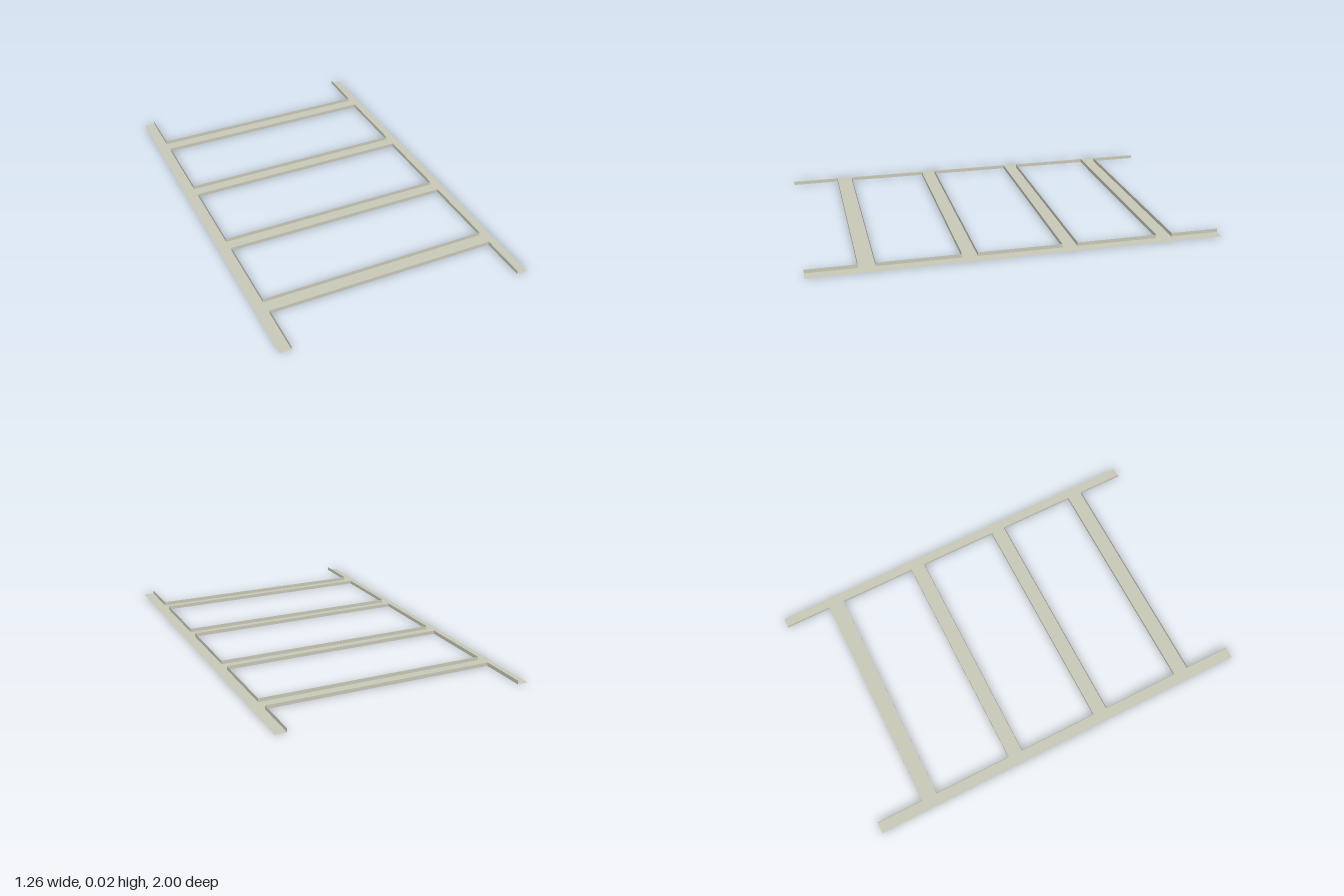
import * as THREE from 'three';

const OUTER = 0.63, INNER = 0.575, HALF = 1, WALL = 0.018;
// z spans of the rungs, and of the openings between them
const RUNGS = [[-0.76, -0.68], [-0.28, -0.205], [0.205, 0.28], [0.68, 0.76]];
const OPENINGS = [-HALF, ...RUNGS.flat(), HALF];

const material = new THREE.MeshStandardMaterial({ color: 0xc8c9b8, side: THREE.DoubleSide });

function addMesh(parent, name, geometry) {
  const mesh = new THREE.Mesh(geometry, material);
  mesh.name = name;
  parent.add(mesh);
}

// flat sheet lying on the ground
function sheet(x0, x1, z0, z1) {
  return new THREE.PlaneGeometry(x1 - x0, z1 - z0)
    .rotateX(-Math.PI / 2)
    .translate((x0 + x1) / 2, 0, (z0 + z1) / 2);
}

// thin upright lip along x at a given z, facing +z or -z
function lipAlongX(z, facing) {
  return new THREE.PlaneGeometry(2 * INNER, WALL)
    .rotateY(facing > 0 ? 0 : Math.PI)
    .translate(0, WALL / 2, z);
}

// thin upright lip along z at a given x, facing the middle
function lipAlongZ(x, z0, z1) {
  return new THREE.PlaneGeometry(z1 - z0, WALL)
    .rotateY(-Math.sign(x) * Math.PI / 2)
    .translate(x, WALL / 2, (z0 + z1) / 2);
}

export function createModel() {
  const model = new THREE.Group();
  model.name = 'ladderFrame';

  // side rails: a flat strip with a lip on the inner edge of every opening
  for (const side of [-1, 1]) {
    const rail = new THREE.Group();
    rail.name = side > 0 ? 'leftRail' : 'rightRail';
    const [x0, x1] = side > 0 ? [INNER, OUTER] : [-OUTER, -INNER];
    addMesh(rail, 'railBase', sheet(x0, x1, -HALF, HALF));
    for (let i = 0; i < OPENINGS.length; i += 2) {
      addMesh(rail, 'railLip', lipAlongZ(side * INNER, OPENINGS[i], OPENINGS[i + 1]));
    }
    model.add(rail);
  }

  // rungs: shallow channels, open on top
  RUNGS.forEach(([z0, z1], i) => {
    const rung = new THREE.Group();
    rung.name = `rung${i + 1}`;
    addMesh(rung, 'rungBase', sheet(-INNER, INNER, z0, z1));
    addMesh(rung, 'rungBackLip', lipAlongX(z0, -1));
    addMesh(rung, 'rungFrontLip', lipAlongX(z1, 1));
    model.add(rung);
  });

  return model;
}
